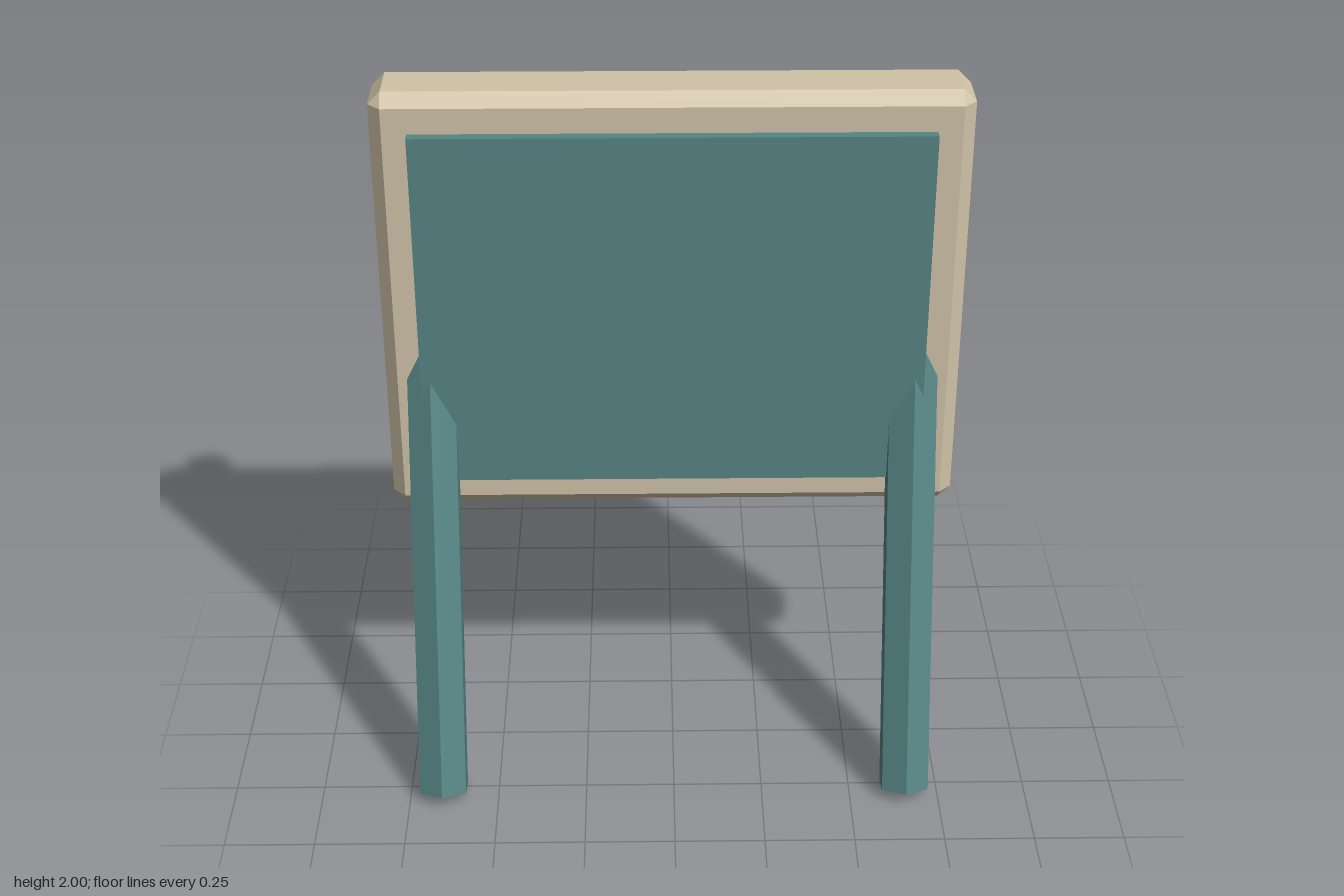
import * as THREE from 'three';
import { ConvexGeometry } from 'three/addons/geometries/ConvexGeometry.js';

// Box with flat chamfers on every edge and corner
function chamferBox(w, h, d, c) {
  const pts = [];
  for (const x of [-w / 2, w / 2]) for (const y of [-h / 2, h / 2]) for (const z of [-d / 2, d / 2]) {
    const ix = x - Math.sign(x) * c, iy = y - Math.sign(y) * c, iz = z - Math.sign(z) * c;
    pts.push(new THREE.Vector3(x, iy, iz), new THREE.Vector3(ix, y, iz), new THREE.Vector3(ix, iy, z));
  }
  return new ConvexGeometry(pts);
}

export function createModel() {
  const group = new THREE.Group();
  const tan = new THREE.MeshStandardMaterial({ name: 'tan', color: 0xcfc2a7, flatShading: true });
  const teal = new THREE.MeshStandardMaterial({ name: 'teal', color: 0x558483, flatShading: true });

  const add = (name, geometry, material, x, y, z) => {
    const mesh = new THREE.Mesh(geometry, material);
    mesh.name = name;
    mesh.position.set(x, y, z);
    group.add(mesh);
    return mesh;
  };

  // Thick chamfered board and the panel in front of it
  add('board', chamferBox(1.56, 1.22, 0.203, 0.034), tan, 0, 1.39, -0.1235);
  add('frontPanel', new THREE.BoxGeometry(1.36, 1.014, 0.031), teal, 0, 1.392, -0.001);

  // Slanted hexagonal posts running through the board
  const post = new THREE.CylinderGeometry(0.075, 0.075, 1.99, 6);
  for (const side of [-1, 1]) {
    const name = side > 0 ? 'leftPost' : 'rightPost';
    add(name, post, teal, side * 0.655, 0.976, 0.001).rotation.x = -0.291;
  }
  return group;
}
